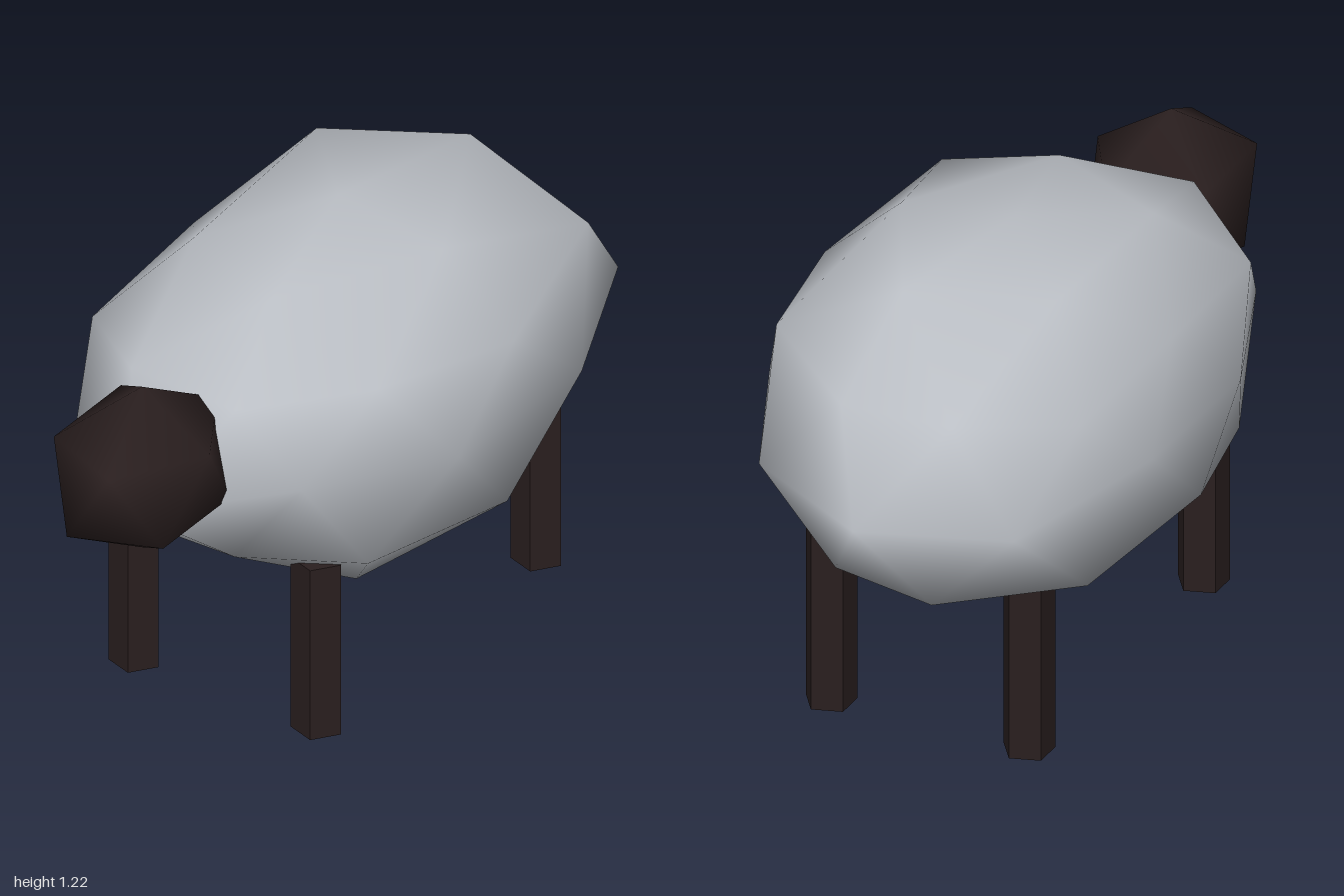
import * as THREE from 'three';

const wool = new THREE.MeshStandardMaterial({ color: 0xbbbfc5 });
wool.name = 'wool grey';
const dark = new THREE.MeshStandardMaterial({ color: 0x2a1f1f });
dark.name = 'dark brown';

// Icosphere standing on its pole, with shared vertices for smooth normals.
function icosphere(levels) {
  const pts = [new THREE.Vector3(0, 1, 0), new THREE.Vector3(0, -1, 0)];
  const h = 1 / Math.sqrt(5), r = 2 * h;
  for (let i = 0; i < 5; i++) {
    const a = (i * 2 * Math.PI) / 5, b = a + Math.PI / 5;
    pts.push(new THREE.Vector3(r * Math.cos(a), h, r * Math.sin(a)));
    pts.push(new THREE.Vector3(r * Math.cos(b), -h, r * Math.sin(b)));
  }
  const up = i => 2 + 2 * (i % 5), low = i => 3 + 2 * (i % 5);
  let faces = [];
  for (let i = 0; i < 5; i++) {
    faces.push([0, up(i + 1), up(i)], [up(i + 1), low(i), up(i)],
      [low(i + 1), low(i), up(i + 1)], [1, low(i), low(i + 1)]);
  }
  for (let l = 0; l < levels; l++) {
    const cache = new Map();
    const mid = (a, b) => {
      const key = Math.min(a, b) + '_' + Math.max(a, b);
      if (!cache.has(key)) {
        cache.set(key, pts.length);
        pts.push(pts[a].clone().add(pts[b]).normalize());
      }
      return cache.get(key);
    };
    faces = faces.flatMap(([a, b, c]) => {
      const ab = mid(a, b), bc = mid(b, c), ca = mid(c, a);
      return [[a, ab, ca], [ab, b, bc], [ca, bc, c], [ab, bc, ca]];
    });
  }
  return { pts, faces };
}

// Scaled icosphere; the vertex nearest to each pin is moved onto it.
function blob(levels, center, radii, pins = []) {
  const { pts, faces } = icosphere(levels);
  const c = new THREE.Vector3(...center), s = new THREE.Vector3(...radii);
  pts.forEach(p => p.multiply(s).add(c));
  for (const pin of pins) {
    const target = new THREE.Vector3(...pin);
    pts.reduce((best, p) =>
      p.distanceTo(target) < best.distanceTo(target) ? p : best).copy(target);
  }
  const geo = new THREE.BufferGeometry().setFromPoints(pts);
  geo.setIndex(faces.flat());
  geo.computeVertexNormals();
  return geo;
}

export function createModel() {
  const model = new THREE.Group();
  model.name = 'sheep';
  const add = (name, geo, mat) => {
    const mesh = new THREE.Mesh(geo, mat);
    mesh.name = name;
    model.add(mesh);
    return mesh;
  };

  // Woolly body, slightly uneven
  const pins = [
    // back and shoulders
    [0.07, 1.2, -0.55], [0.07, 1.16, 0.32], [0.3, 1.175, -0.1], [-0.28, 1.18, -0.38],
    [0.14, 0.96, -0.75], [-0.17, 0.97, -0.75], [0.14, 0.99, 0.58], [-0.17, 1.01, 0.59],
    [0.515, 0.98, -0.1], [-0.46, 0.98, -0.1], [0.405, 1.04, -0.585], [0.42, 1.04, 0.36],
    // flanks and rump
    [-0.02, 0.76, -1], [-0.53, 0.76, 0.14], [-0.52, 0.76, -0.33], [-0.33, 0.67, -0.72],
    [0.3, 0.78, 0.52], [-0.36, 0.76, 0.56], [0.515, 0.76, 0.14], [0.535, 0.76, -0.37],
    [0.34, 0.77, -0.81],
    // belly
    [-0.02, 0.257, -0.1], [-0.54, 0.55, -0.1], [0.495, 0.5, -0.1], [-0.3, 0.37, -0.1],
    [-0.1, 0.43, -0.55], [0.21, 0.38, -0.37], [0.23, 0.32, 0.18], [-0.1, 0.4, 0.34],
    [-0.16, 0.57, 0.6], [0.13, 0.55, 0.57], [0.13, 0.52, -0.8], [0.33, 0.56, -0.53],
    [-0.45, 0.49, -0.55], [-0.18, 0.53, -0.88],
  ];
  add('body', blob(1, [-0.02, 0.74, -0.1], [0.58, 0.48, 0.9], pins), wool);

  // Head
  add('head', blob(0, [-0.02, 0.86, 0.76], [0.23, 0.237, 0.28]), dark);

  // Five-sided legs with flat faces
  const legGeo = new THREE.CylinderGeometry(0.069, 0.069, 0.5, 5, 1, false, Math.PI / 2)
    .toNonIndexed();
  legGeo.computeVertexNormals();
  for (const [end, z] of [['front', 0.385], ['back', -0.58]]) {
    for (const [side, x] of [['Left', 0.256], ['Right', -0.299]]) {
      add(end + side + 'Leg', legGeo, dark).position.set(x, 0.25, z);
    }
  }
  return model;
}
